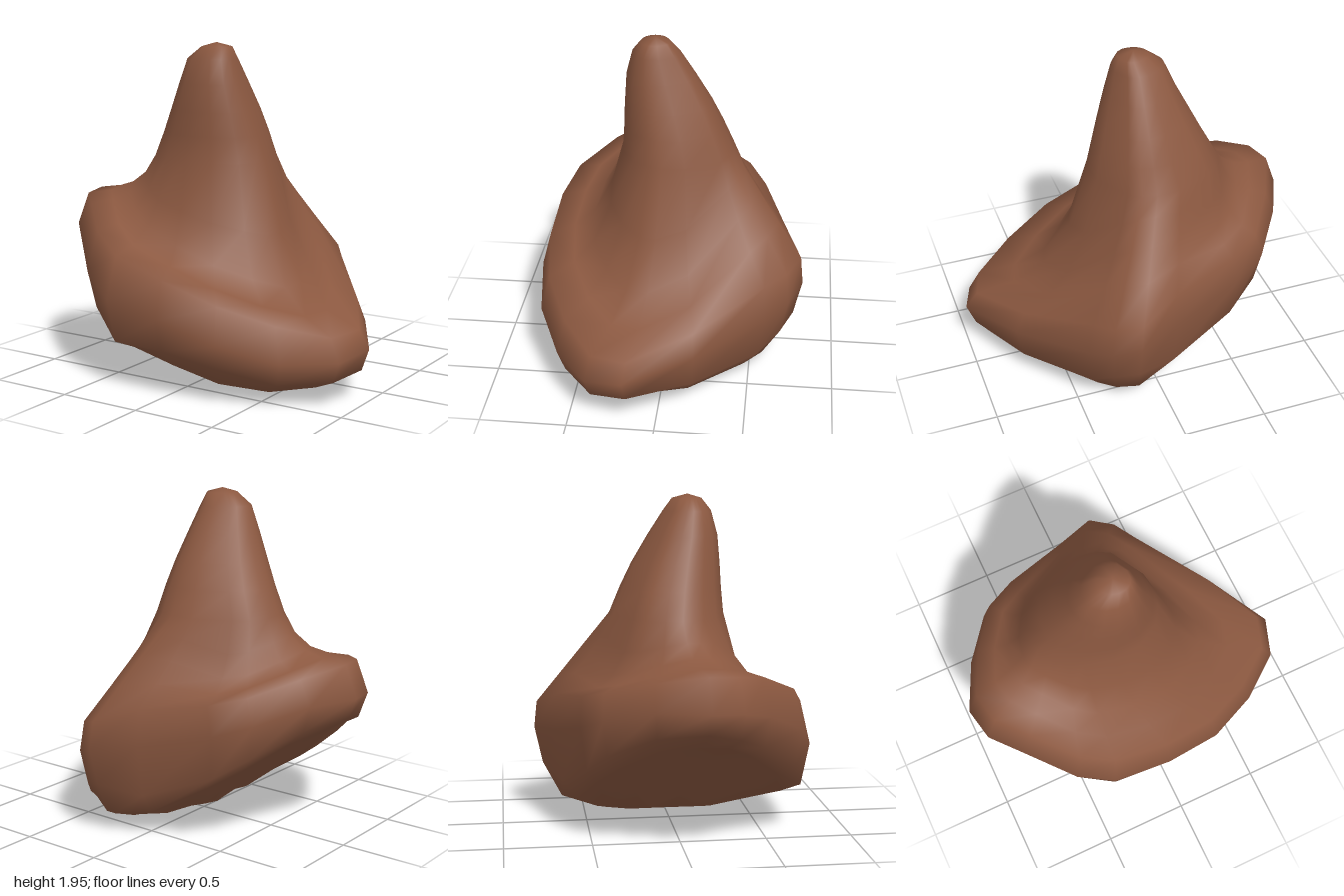
import * as THREE from 'three';

// Outline of the tilted base: x, z, then heights of its lower edge, widest line and upper edge
const RIM = [
  [1, 0.18, 0.17, 0.30, 0.40], [0.93, 0.40, 0.14, 0.26, 0.39], [0.67, 0.60, 0.13, 0.26, 0.46],
  [0.35, 0.75, 0.21, 0.35, 0.56], [0, 0.80, 0.27, 0.46, 0.67], [-0.36, 0.78, 0.27, 0.52, 0.77],
  [-0.57, 0.69, 0.43, 0.65, 0.88], [-0.80, 0.46, 0.60, 0.78, 0.99], [-0.96, 0.29, 0.68, 0.83, 1.02],
  [-1, 0.10, 0.72, 0.84, 1.03], [-0.87, -0.18, 0.68, 0.83, 0.98], [-0.68, -0.45, 0.55, 0.75, 0.90],
  [-0.48, -0.56, 0.42, 0.68, 0.85], [-0.06, -0.69, 0.27, 0.58, 0.79], [0.20, -0.80, 0.32, 0.54, 0.70],
  [0.35, -0.72, 0.27, 0.48, 0.66], [0.45, -0.59, 0.17, 0.42, 0.62], [0.78, -0.20, 0.15, 0.35, 0.48],
];

// Keel of the underside: x, y
const KEEL = [[-1, 0.72], [-0.7, 0.57], [-0.4, 0.32], [-0.2, 0.12], [0, 0.06], [0.2, 0], [0.55, 0.01], [1, 0.16]];

// Peak sections: y, centre x, centre z, radius x, radius z
const PEAK = [
  [1.27, -0.15, -0.02, 0.38, 0.31], [1.42, -0.13, 0.005, 0.32, 0.275], [1.56, -0.115, 0.035, 0.265, 0.24],
  [1.72, -0.1, 0.075, 0.2, 0.19], [1.86, -0.09, 0.1, 0.15, 0.13], [1.93, -0.06, 0.1, 0.09, 0.08],
];

const { lerp, clamp } = THREE.MathUtils;

// Bump of 0 to 1 around one direction
const towards = (angle, centre) => Math.max(0, Math.cos(angle - centre)) ** 4;

function keelHeight(x) {
  const i = clamp(KEEL.findIndex((p) => p[0] >= x), 1, KEEL.length - 1);
  const [a, b] = [KEEL[i - 1], KEEL[i]];
  return lerp(a[1], b[1], (x - a[0]) / (b[0] - a[0]));
}

// Point of a peak section in the direction of a rim point, with a ridge at the back and one at the front left
function peakPoint([y, cx, cz, rx, rz], [x, z]) {
  const angle = Math.atan2(z, x);
  const ridge = 1 + 0.14 * towards(angle, -1.1) + 0.1 * towards(angle, 0.85);
  return [cx + rx * ridge * Math.cos(angle), y, cz + rz * ridge * Math.sin(angle)];
}

// Upper edge of the base, drawn in less at the back
function upperEdge([x, z, , , top]) {
  return [x * 0.93, top, z * (z < 0 ? 0.98 : 0.93)];
}

function buildRings() {
  const rings = [];
  // Underside, from the middle outwards, rising towards front and back
  for (const s of [0.3, 0.58, 0.8]) {
    rings.push(RIM.map(([x, z, low]) => {
      const lift = 0.35 * Math.max(0, Math.abs(z * s) - 0.35);
      return [x * s, Math.min(keelHeight(x * s) + lift, low - 0.05), z * s];
    }));
  }
  // Rounded edge of the base
  rings.push(RIM.map(([x, z, low]) => [x * 0.95, low, z * 0.94]));
  rings.push(RIM.map(([x, z, , mid]) => [x, mid, z]));
  rings.push(RIM.map(upperEdge));
  // Slope up to the peak: hollow, but straight along the back ridge
  for (const [k, rise] of [[0.33, 0.08], [0.6, 0.23], [0.83, 0.54]]) {
    rings.push(RIM.map((p) => {
      const [ex, ey, ez] = upperEdge(p);
      const [px, py, pz] = peakPoint(PEAK[0], p);
      const straight = towards(Math.atan2(p[1], p[0]), -1.3);
      return [lerp(ex, px, k), lerp(ey, py, lerp(rise, k, straight)), lerp(ez, pz, k)];
    }));
  }
  for (const section of PEAK) rings.push(RIM.map((p) => peakPoint(section, p)));
  return rings;
}

// Closed skin over the rings, with a point at each end
function loft(rings, start, end) {
  const n = rings[0].length;
  const positions = [...rings.flat(2), ...start, ...end];
  const first = rings.length * n;
  const last = first + 1;
  const index = [];
  for (let j = 0; j < n; j++) {
    const k = (j + 1) % n;
    index.push(first, j, k);
    for (let i = 0; i < rings.length - 1; i++) {
      const a = i * n + j, b = i * n + k;
      index.push(a, a + n, b, b, a + n, b + n);
    }
    index.push(first - n + j, last, first - n + k);
  }
  const geometry = new THREE.BufferGeometry();
  geometry.setAttribute('position', new THREE.Float32BufferAttribute(positions, 3));
  geometry.setIndex(index);
  geometry.computeVertexNormals();
  return geometry;
}

export function createModel() {
  const model = new THREE.Group();
  model.name = 'peakedRock';
  const brown = new THREE.MeshStandardMaterial({ color: 0x8b5840 });
  brown.name = 'brown';
  const rock = new THREE.Mesh(loft(buildRings(), [0, keelHeight(0), 0], [-0.06, 1.955, 0.1]), brown);
  rock.name = 'rockBody';
  model.add(rock);
  return model;
}
